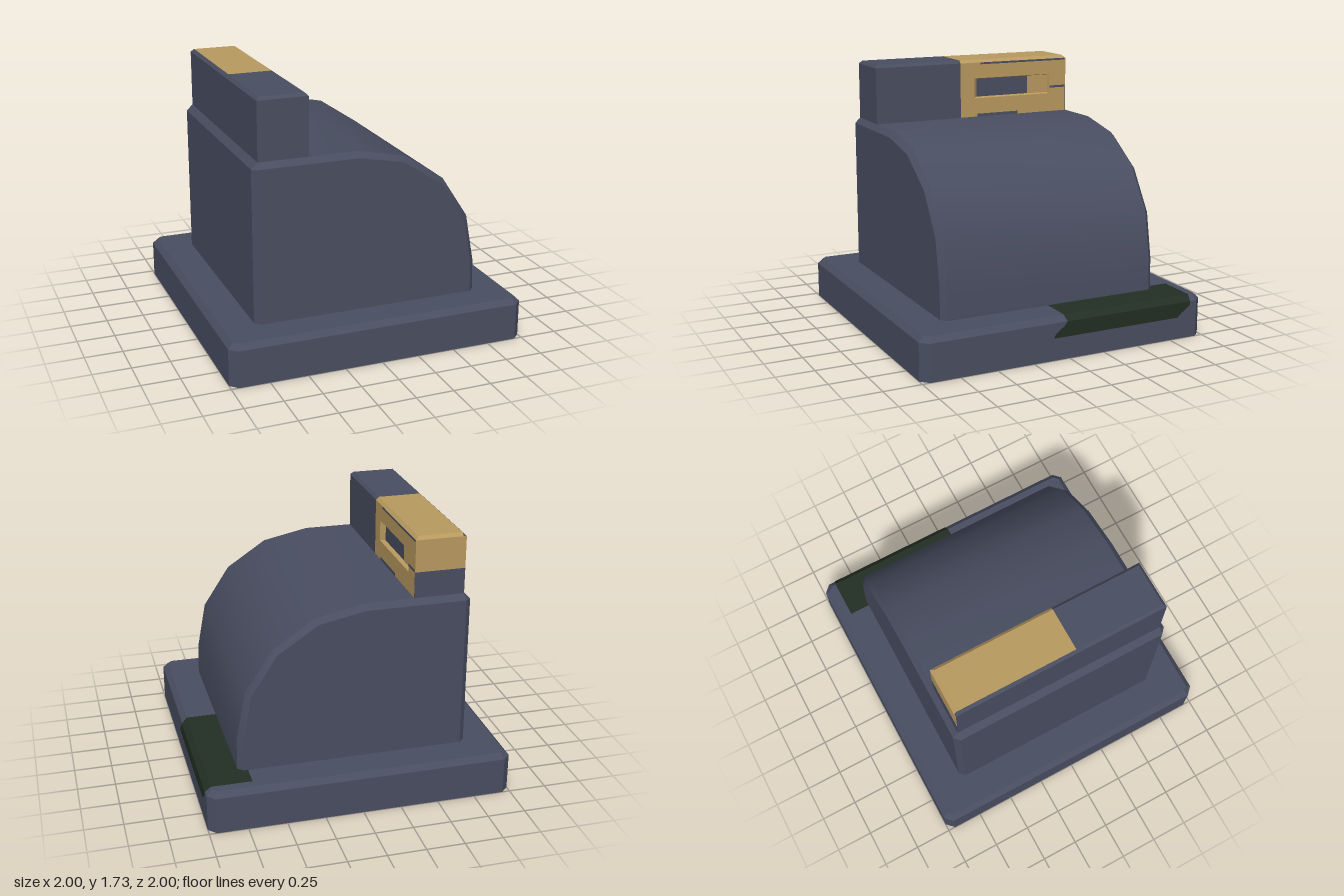
import * as THREE from 'three';
import { toCreasedNormals } from 'three/addons/utils/BufferGeometryUtils.js';

const slate = new THREE.MeshStandardMaterial({ color: 0x484d60, side: THREE.DoubleSide });
slate.name = 'slate';
const gold = new THREE.MeshStandardMaterial({ color: 0xb8995f });
gold.name = 'gold';
const green = new THREE.MeshStandardMaterial({ color: 0x222e23, side: THREE.DoubleSide });
green.name = 'dark green';

// Skin rings of equal point count; optional flat caps and closed rings
function loft(rings, { capStart = false, capEnd = false, closed = true } = {}) {
  const n = rings[0].length;
  const index = [];
  for (let r = 0; r < rings.length - 1; r++) {
    for (let i = 0; i < (closed ? n : n - 1); i++) {
      const j = (i + 1) % n;
      const a = r * n + i, b = r * n + j;
      index.push(a, b, b + n, a, b + n, a + n);
    }
  }
  const last = (rings.length - 1) * n;
  for (let i = 1; i < n - 1; i++) {
    if (capStart) index.push(0, i + 1, i);
    if (capEnd) index.push(last, last + i, last + i + 1);
  }
  const g = new THREE.BufferGeometry();
  g.setAttribute('position', new THREE.Float32BufferAttribute(rings.flat(2), 3));
  g.setIndex(index);
  return toCreasedNormals(g, 0.5);
}

// Horizontal rectangle ring
const rect = (y, x0, x1, z0, z1) => [[x0, y, z1], [x1, y, z1], [x1, y, z0], [x0, y, z0]];

// Horizontal square ring with cut corners
function cutSquare(y, h, c) {
  const k = h - c;
  return [[-k, h], [k, h], [h, k], [h, -k], [k, -h], [-k, -h], [-h, -k], [-h, k]]
    .map(([x, z]) => [x, y, z]);
}

export function createModel() {
  const model = new THREE.Group();
  const add = (name, geometry, material) => {
    const mesh = new THREE.Mesh(geometry, material);
    mesh.name = name;
    model.add(mesh);
    return mesh;
  };
  const plate = (name, material, x0, x1, y0, y1, z0, z1) => {
    const mesh = add(name, new THREE.BoxGeometry(x1 - x0, y1 - y0, z1 - z0), material);
    mesh.position.set((x0 + x1) / 2, (y0 + y1) / 2, (z0 + z1) / 2);
  };

  // Hollow drawer base, open underneath
  add('base', loft([cutSquare(0, 1, 0.05), cutSquare(0.245, 1, 0.05), cutSquare(0.28, 0.965, 0.03)],
    { capEnd: true }), slate);

  // Rounded body with bevelled end faces
  const outer = [[0.765, 0.282], [0.76, 0.49], [0.7, 0.81], [0.52, 1.085], [0.25, 1.265],
    [-0.06, 1.33], [-0.72, 1.33], [-0.762, 1.29], [-0.762, 0.282]];
  const inner = [[0.73, 0.282], [0.725, 0.49], [0.67, 0.79], [0.5, 1.055], [0.235, 1.232],
    [-0.065, 1.293], [-0.725, 1.293], [-0.725, 1.29], [-0.725, 0.282]];
  const at = (profile, z) => profile.map(([x, y]) => [x, y, z]);
  add('body', loft([at(inner, -0.765), at(outer, -0.73), at(outer, 0.73), at(inner, 0.765)],
    { capStart: true, capEnd: true }), slate);

  // Display head: plain front half
  const split = 0.105, back = -0.725;
  add('headFront', loft([rect(1.33, -0.72, -0.39, split, 0.73), rect(1.71, -0.72, -0.39, split, 0.73),
    rect(1.73, -0.7, -0.41, split, 0.71)], { capEnd: true }), slate);

  // Display head: rear half with slate core, left bevel and gold top
  add('headCore', loft([rect(1.33, -0.72, -0.42, back, split), rect(1.71, -0.72, -0.42, back, split)],
    { capEnd: true }), slate);
  add('headLeftBevel', loft([rect(1.71, -0.72, -0.7, back, split), rect(1.73, -0.701, -0.7, back + 0.02, split)],
    { capEnd: true }), slate);
  add('headTop', loft([rect(1.71, -0.7, -0.39, back, split), rect(1.73, -0.7, -0.41, back + 0.02, split)],
    { capEnd: true }), gold);

  // Gold side panel with a window opening
  const panel = new THREE.Shape();
  panel.moveTo(-split, 1.33).lineTo(-back, 1.33).lineTo(-back, 1.71).lineTo(-split, 1.71).closePath();
  const hole = new THREE.Path();
  hole.moveTo(0, 1.46).lineTo(0, 1.6).lineTo(0.6, 1.6).lineTo(0.6, 1.46).closePath();
  panel.holes.push(hole);
  const side = new THREE.ExtrudeGeometry(panel, { depth: 0.03, bevelEnabled: false });
  side.rotateY(Math.PI / 2).translate(-0.42, 0, 0);
  add('displayPanel', side, gold);

  // Sloping window rim and the gold part of its floor
  const opening = (x, z0, z1, y0, y1) => [[x, y0, z1], [x, y1, z1], [x, y1, z0], [x, y0, z0]];
  add('windowRim', loft([opening(-0.42, -0.59, -0.03, 1.467, 1.593), opening(-0.39, -0.6, 0, 1.46, 1.6)]), gold);
  plate('windowFloorMarker', gold, -0.422, -0.416, 1.465, 1.595, -0.595, -0.43);

  // Thin dark lines on the panel
  plate('upperPanelLine', slate, -0.392, -0.388, 1.697, 1.71, -0.72, -0.05);
  plate('lowerPanelLine', slate, -0.392, -0.388, 1.33, 1.35, -0.34, -0.025);
  plate('rearPanelLine', slate, -0.392, -0.388, 1.5, 1.515, -0.722, -0.6);

  // Rear face: gold above, slate below
  plate('rearUpperPlate', gold, -0.72, -0.39, 1.5, 1.71, back - 0.003, back + 0.001);
  plate('rearLowerPlate', slate, -0.72, -0.39, 1.33, 1.5, back - 0.003, back + 0.001);

  // Green patch folded over the left edge of the base
  const patch = [[0.7, 0.283, 0.03, -0.908], [0.966, 0.283, 0.03, -0.908], [1.003, 0.246, 0.02, -0.9],
    [1.003, 0.22, 0.04, -0.9], [1.003, 0.175, 0.1, -0.835], [1.003, 0.147, 0.115, -0.805]];
  add('basePatch', loft(patch.map(([x, y, zf, zb]) => [[x, y, zb], [x, y, zf]]).reverse(),
    { closed: false }), green);

  return model;
}
